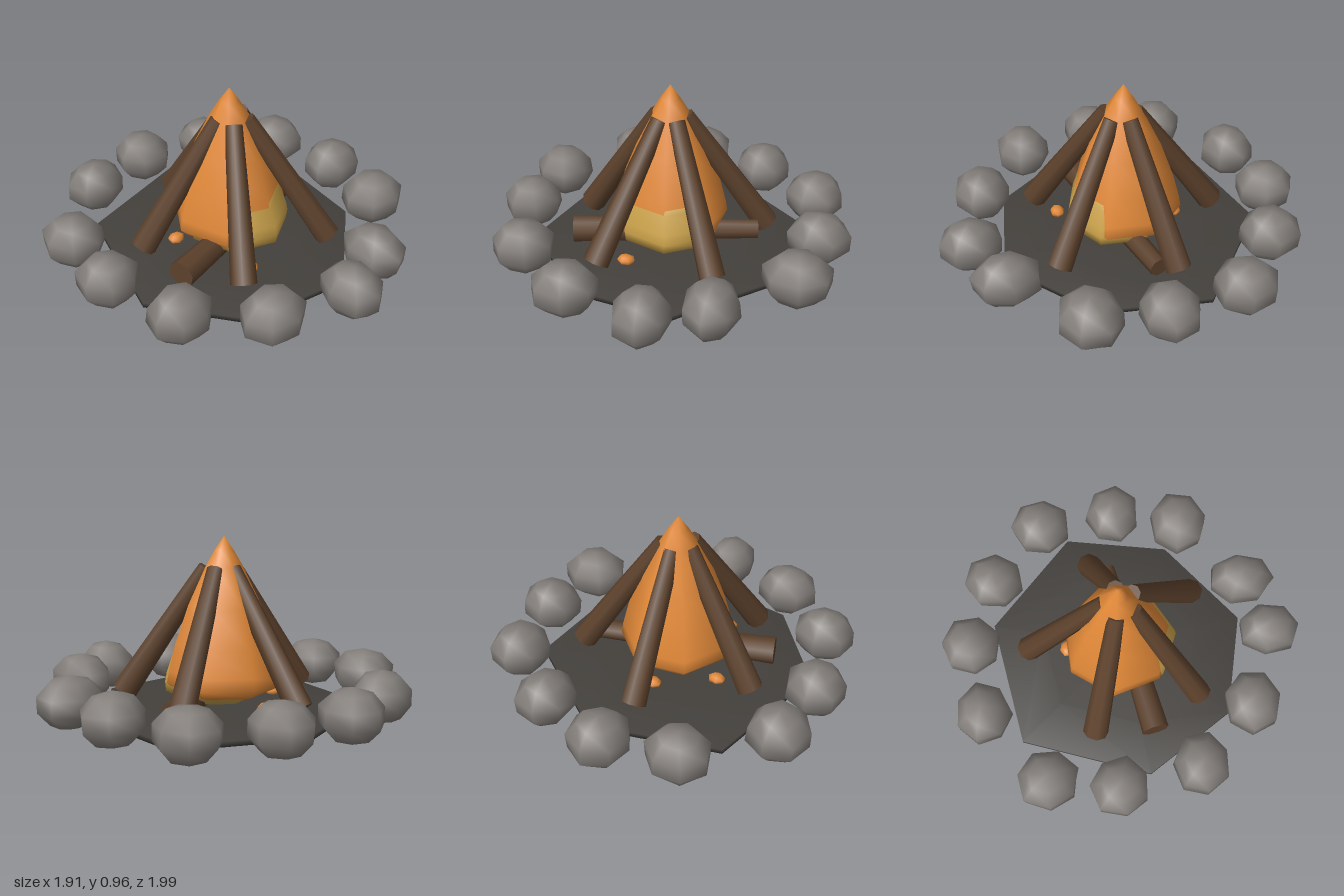
import * as THREE from 'three';
import { mergeVertices } from 'three/addons/utils/BufferGeometryUtils.js';

const material = (name, color, side = THREE.FrontSide) => {
  const m = new THREE.MeshStandardMaterial({ color, side });
  m.name = name;
  return m;
};

// Small seeded generator, values in -1..1
function seeded(seed) {
  return () => {
    seed = (seed * 16807) % 2147483647;
    return (seed / 2147483647) * 2 - 1;
  };
}

// Weld seams and recompute smooth normals
function smooth(geometry) {
  geometry.deleteAttribute('uv');
  geometry.deleteAttribute('normal');
  const g = mergeVertices(geometry, 1e-4);
  g.computeVertexNormals();
  return g;
}

function lumpGeometry(rx, ry, rz, jitter, random) {
  const g = smooth(new THREE.SphereGeometry(1, 7, 5));
  g.rotateY(random() * Math.PI);
  const p = g.attributes.position;
  for (let i = 0; i < p.count; i++) {
    const k = 1 + random() * jitter;
    p.setXYZ(i, p.getX(i) * rx * k, p.getY(i) * ry * (1 + random() * jitter * 0.5), p.getZ(i) * rz * k);
  }
  g.computeVertexNormals();
  return g;
}

export function createModel() {
  const group = new THREE.Group();
  group.name = 'campfire';
  const stone = material('stone grey', 0x827d79);
  const wood = material('log brown', 0x5c412c);
  const ash = material('ash', 0x43403c);
  const orange = material('flame orange', 0xe08838);
  const yellow = material('flame yellow', 0xcba24a);
  const random = seeded(4711);

  const add = (name, geometry, mat, x = 0, y = 0, z = 0) => {
    const mesh = new THREE.Mesh(geometry, mat);
    mesh.name = name;
    mesh.position.set(x, y, z);
    group.add(mesh);
    return mesh;
  };

  // Ash bed: flattened seven-sided lump stretched to uneven corners
  const corners = [[-0.72, 0.12], [-0.4, 0.57], [0.15, 0.67], [0.6, 0.28], [0.68, -0.29], [0.16, -0.72], [-0.51, -0.57]];
  const bed = new THREE.SphereGeometry(1, 7, 5);
  const p = bed.attributes.position;
  for (let i = 0; i < p.count; i++) {
    const column = (i % 8) % 7;
    const reach = Math.hypot(p.getX(i), p.getZ(i)) / Math.sin(Math.PI * 0.4);
    const lift = column === 5 && reach > 0.9 ? 0.02 : 0;
    const [cx, cz] = corners[column];
    p.setXYZ(i, cx * reach, 0.045 + p.getY(i) * 0.045 + lift, cz * reach);
  }
  add('ashBed', smooth(bed), ash);

  // Ring of stones: x, z, width, depth
  const stones = [
    [-0.37, -0.77, 0.33, 0.3], [0.02, -0.84, 0.32, 0.32], [0.4, -0.71, 0.3, 0.33], [0.73, -0.44, 0.32, 0.33],
    [0.79, -0.02, 0.33, 0.31], [0.72, 0.36, 0.35, 0.32], [0.35, 0.69, 0.28, 0.36], [0.04, 0.82, 0.28, 0.34],
    [-0.375, 0.69, 0.335, 0.3], [-0.7, 0.39, 0.33, 0.3], [-0.8, -0.05, 0.31, 0.32], [-0.745, -0.43, 0.32, 0.33],
  ];
  for (const [x, z, w, d] of stones) {
    add('stone', lumpGeometry(w * 0.525, 0.138, d * 0.525, 0.05, random), stone, x, 0.158, z);
  }

  // Log between two points, thicker at the start
  const up = new THREE.Vector3(0, 1, 0);
  const log = (name, from, to, r0, r1) => {
    const axis = to.clone().sub(from);
    const mid = from.clone().add(to).multiplyScalar(0.5);
    const mesh = add(name, new THREE.CylinderGeometry(r1, r0, axis.length(), 8), wood, mid.x, mid.y, mid.z);
    mesh.quaternion.setFromUnitVectors(up, axis.normalize());
  };

  // Five leaning logs
  for (let i = 0; i < 5; i++) {
    const a = Math.PI + (i * Math.PI * 2) / 5;
    const s = Math.sin(a), c = Math.cos(a);
    log('leaningLog', new THREE.Vector3(s * 0.515, 0.125, c * 0.515 - 0.01),
      new THREE.Vector3(s * 0.075 - 0.005, 0.79, c * 0.075 - 0.01), 0.069, 0.045);
  }

  // One log lying across the bed
  log('lyingLog', new THREE.Vector3(-0.5, 0.14, 0.155), new THREE.Vector3(0.46, 0.13, -0.075), 0.074, 0.052);

  // Outer flame and the brighter inner flame licking through at the front
  const flame = (name, profile, mat, x, z) => add(name,
    smooth(new THREE.LatheGeometry(profile.map(([r, y]) => new THREE.Vector2(r, y)), 7, 0.1)), mat, x, 0, z);
  flame('outerFlame', [[0, 0.12], [0.2, 0.13], [0.27, 0.155], [0.31, 0.2], [0.3, 0.26], [0.265, 0.4],
    [0.195, 0.6], [0.1, 0.8], [0.05, 0.885], [0, 0.957]], orange, -0.01, -0.025);
  flame('innerFlame', [[0, 0.095], [0.19, 0.1], [0.275, 0.15], [0.28, 0.2], [0.27, 0.25],
    [0.235, 0.35], [0.205, 0.41], [0, 0.6]], yellow, 0, 0.02);

  // Glowing embers
  for (const [x, z] of [[-0.17, 0.31], [0, -0.31], [-0.29, -0.14]]) {
    add('ember', lumpGeometry(0.048, 0.026, 0.04, 0.08, random), orange, x, 0.095, z);
  }
  return group;
}
